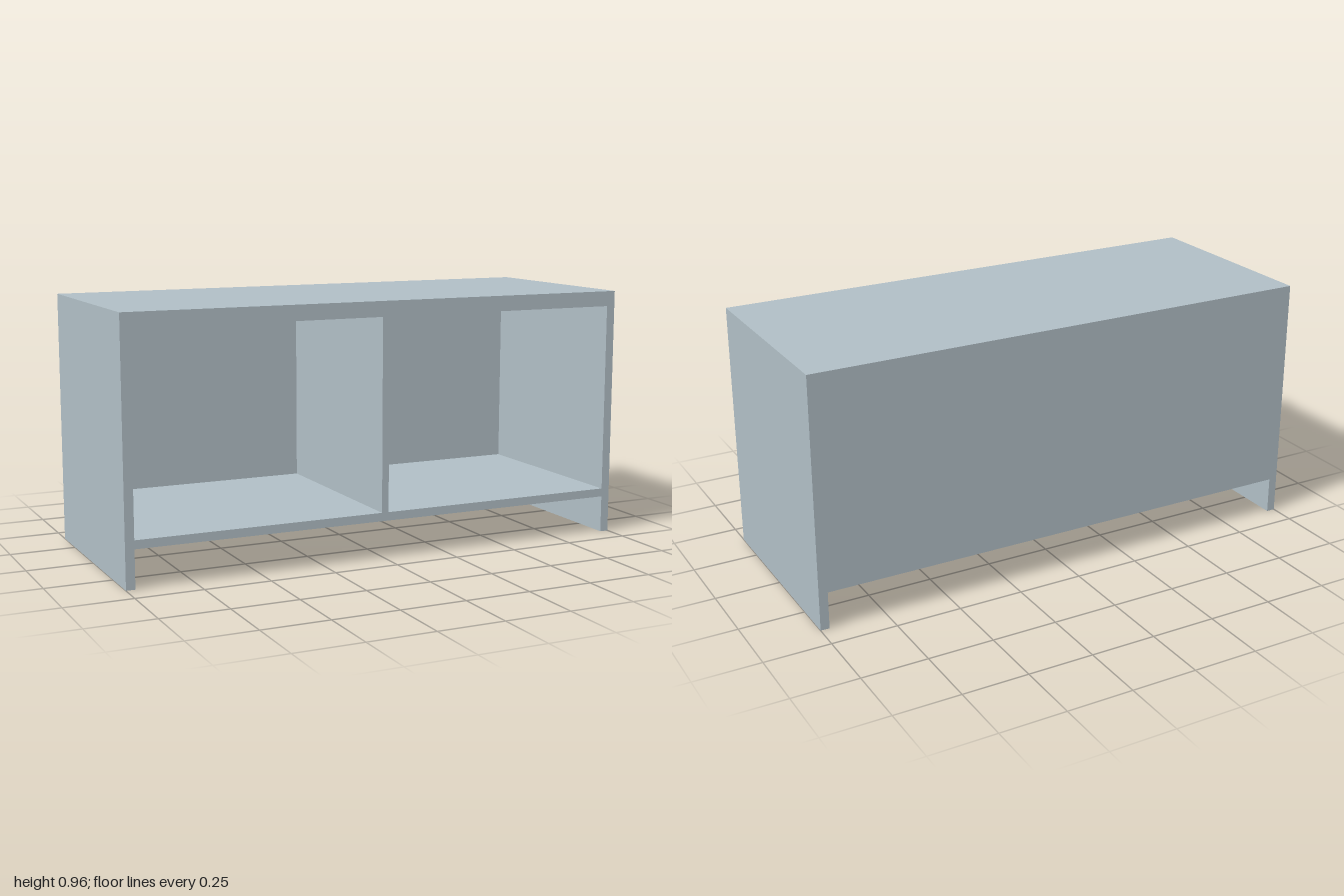
import * as THREE from 'three';

const HEIGHT = 0.96, HALF_W = 1, HALF_D = 0.4;
const SIDE = 0.034;      // side panel thickness
const DIVIDER = 0.027;   // middle divider thickness
const UNDER = 0.143;     // underside of the bottom shelf
const FLOOR = 0.175;     // top of the bottom shelf
const CEILING = 0.902;   // underside of the top panel
const BACK = 0.015;      // back panel thickness

// Front outline: a box whose side panels run down to the ground
function outline() {
  const inner = HALF_W - SIDE;
  return new THREE.Shape([
    [-HALF_W, 0], [-inner, 0], [-inner, UNDER], [inner, UNDER],
    [inner, 0], [HALF_W, 0], [HALF_W, HEIGHT], [-HALF_W, HEIGHT],
  ].map(([x, y]) => new THREE.Vector2(x, y)));
}

// Rectangular opening between two x positions
function opening(x0, x1) {
  return new THREE.Path([
    [x0, FLOOR], [x0, CEILING], [x1, CEILING], [x1, FLOOR],
  ].map(([x, y]) => new THREE.Vector2(x, y)));
}

function slab(name, shape, z, depth, material) {
  const geometry = new THREE.ExtrudeGeometry(shape, { depth, bevelEnabled: false });
  const mesh = new THREE.Mesh(geometry, material);
  mesh.name = name;
  mesh.position.z = z;
  return mesh;
}

export function createModel() {
  const group = new THREE.Group();
  group.name = 'openCabinet';
  const paint = new THREE.MeshStandardMaterial({ color: 0xb0bec5 });
  paint.name = 'blueGreyPaint';

  // Carcass with two open compartments
  const carcass = outline();
  carcass.holes.push(
    opening(-HALF_W + SIDE, -DIVIDER / 2),
    opening(DIVIDER / 2, HALF_W - SIDE),
  );
  group.add(slab('carcass', carcass, -HALF_D + BACK, 2 * HALF_D - BACK, paint));

  // Thin panel closing the back
  group.add(slab('backPanel', outline(), -HALF_D, BACK, paint));
  return group;
}
